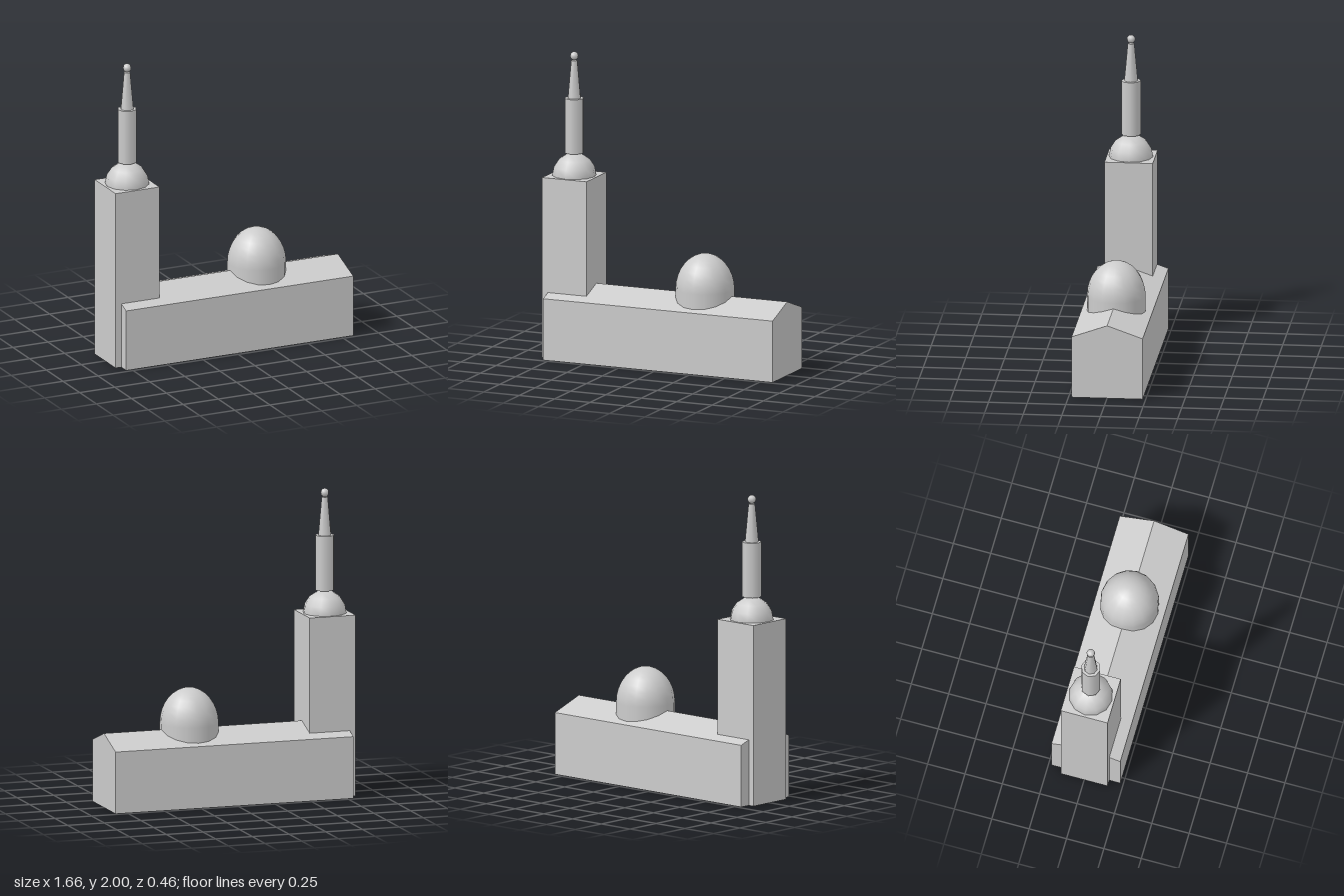
import * as THREE from 'three';

const TOWER_X = -0.674;
const DOME_X = 0.25;

// Box standing on y = 0 with no floor; an optional ridge lifts the top centre line.
function openBox(width, height, depth, ridge = 0) {
  const g = new THREE.BoxGeometry(width, height, depth, 1, 1, 2);
  g.translate(0, height / 2, 0);
  const p = g.attributes.position;
  for (let i = 0; i < p.count; i++) {
    if (p.getY(i) > height - 1e-4 && Math.abs(p.getZ(i)) < 1e-4) p.setY(i, height + ridge);
  }
  const floor = g.groups[3];
  const index = Array.from(g.index.array);
  index.splice(floor.start, floor.count);
  g.setIndex(index);
  g.clearGroups();
  const flat = g.toNonIndexed();
  flat.computeVertexNormals();
  return flat;
}

// Upper half of a sphere, stretched to a given height.
function dome(radius, height, sides, rings) {
  const g = new THREE.SphereGeometry(radius, sides, rings, 0, Math.PI * 2, 0, Math.PI / 2);
  return g.scale(1, height / radius, 1);
}

export function createModel() {
  const model = new THREE.Group();
  const stone = new THREE.MeshStandardMaterial({ color: 0xcccccc, side: THREE.DoubleSide });
  stone.name = 'pale grey stone';

  const add = (name, geometry, x, y) => {
    const mesh = new THREE.Mesh(geometry, stone);
    mesh.name = name;
    mesh.position.set(x, y, 0);
    model.add(mesh);
  };

  // Long hall with a shallow gabled roof
  add('hall', openBox(1.62, 0.405, 0.46, 0.081), 0.02, 0);

  // Dome on a short drum, straddling the ridge
  add('domeDrum', new THREE.CylinderGeometry(0.19, 0.19, 0.11, 16, 1, true), DOME_X, 0.465);
  add('dome', dome(0.19, 0.232, 16, 8), DOME_X, 0.52);

  // Square tower with cupola, column, spire and finial
  add('tower', openBox(0.313, 1.186, 0.313), TOWER_X, 0);
  add('cupola', dome(0.143, 0.146, 12, 4), TOWER_X, 1.186);
  add('column', new THREE.CylinderGeometry(0.063, 0.063, 0.36, 8), TOWER_X, 1.514);
  add('spire', new THREE.CylinderGeometry(0.021, 0.044, 0.25, 8), TOWER_X, 1.817);
  add('finialBall', new THREE.SphereGeometry(0.028, 8, 6), TOWER_X, 1.972);

  return model;
}
